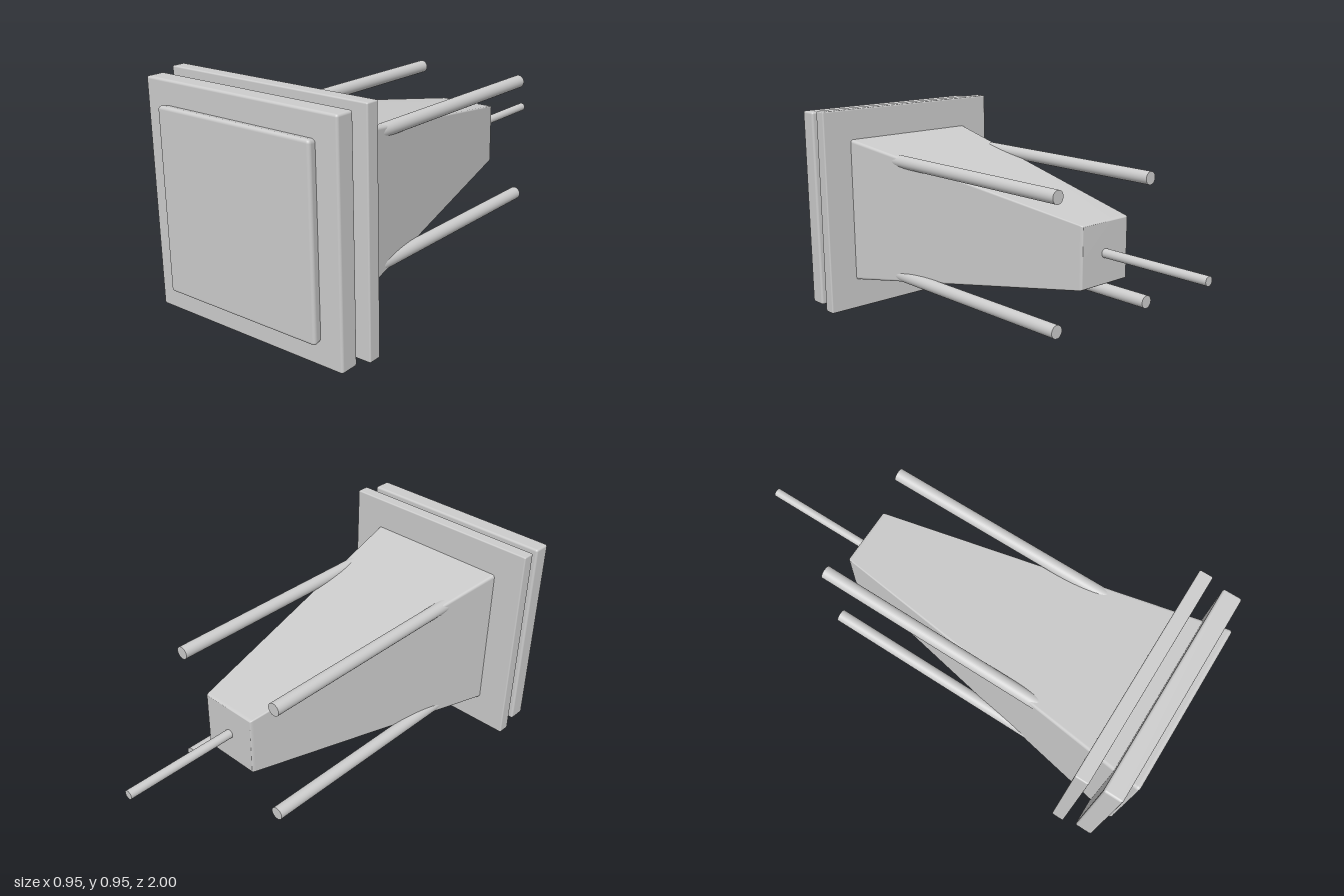
import * as THREE from 'three';
import { RoundedBoxGeometry } from 'three/addons/geometries/RoundedBoxGeometry.js';
import { mergeVertices } from 'three/addons/utils/BufferGeometryUtils.js';

const CENTRE_Y = 0.477;

export function createModel() {
  const model = new THREE.Group();
  const material = new THREE.MeshStandardMaterial({ color: 0xcccccc });

  function add(name, geometry, x, y, z) {
    const mesh = new THREE.Mesh(geometry, material);
    mesh.name = name;
    mesh.position.set(x, CENTRE_Y + y, z);
    model.add(mesh);
  }

  // Square plate with softened edges, spanning zBack to zFront
  function addPlate(name, size, zBack, zFront, radius) {
    const geometry = new RoundedBoxGeometry(size, size, zFront - zBack, 3, radius);
    add(name, geometry, 0, 0, (zBack + zFront) / 2);
  }

  // Round rod running along z
  function addRod(name, radius, x, y, zBack, zFront) {
    const geometry = new THREE.CylinderGeometry(radius, radius, zFront - zBack, 32);
    geometry.rotateX(Math.PI / 2);
    add(name, geometry, x, y, (zBack + zFront) / 2);
  }

  // Tapered body: a rounded box narrowed steadily towards the back
  const frontSize = 0.74, backSize = 0.26, length = 1.5;
  let body = new RoundedBoxGeometry(frontSize, frontSize, length, 3, 0.015);
  const p = body.attributes.position;
  for (let i = 0; i < p.count; i++) {
    const t = p.getZ(i) / length + 0.5;
    const scale = THREE.MathUtils.lerp(backSize / frontSize, 1, t);
    p.setXY(i, p.getX(i) * scale, p.getY(i) * scale);
  }
  body.deleteAttribute('normal');
  body.deleteAttribute('uv');
  body = mergeVertices(body, 1e-5);
  body.computeVertexNormals();
  add('taperedBody', body, 0, 0, 0.25);

  // Two flanges around the wide end
  addPlate('frontFlange', 0.92, 0.885, 0.965, 0.01);
  addPlate('rearFlange', 0.946, 0.773, 0.83, 0.006);

  // Four corner rods emerging from the body edges
  for (const [side, sx] of [['left', 1], ['right', -1]]) {
    for (const [level, sy] of [['Upper', 1], ['Lower', -1]]) {
      addRod(`${side}${level}Rod`, 0.028, sx * 0.264, sy * 0.264, -0.5, 0.55);
    }
  }

  // Thin stem at the back
  addRod('rearStem', 0.019, 0, 0, -1, -0.48);

  return model;
}
